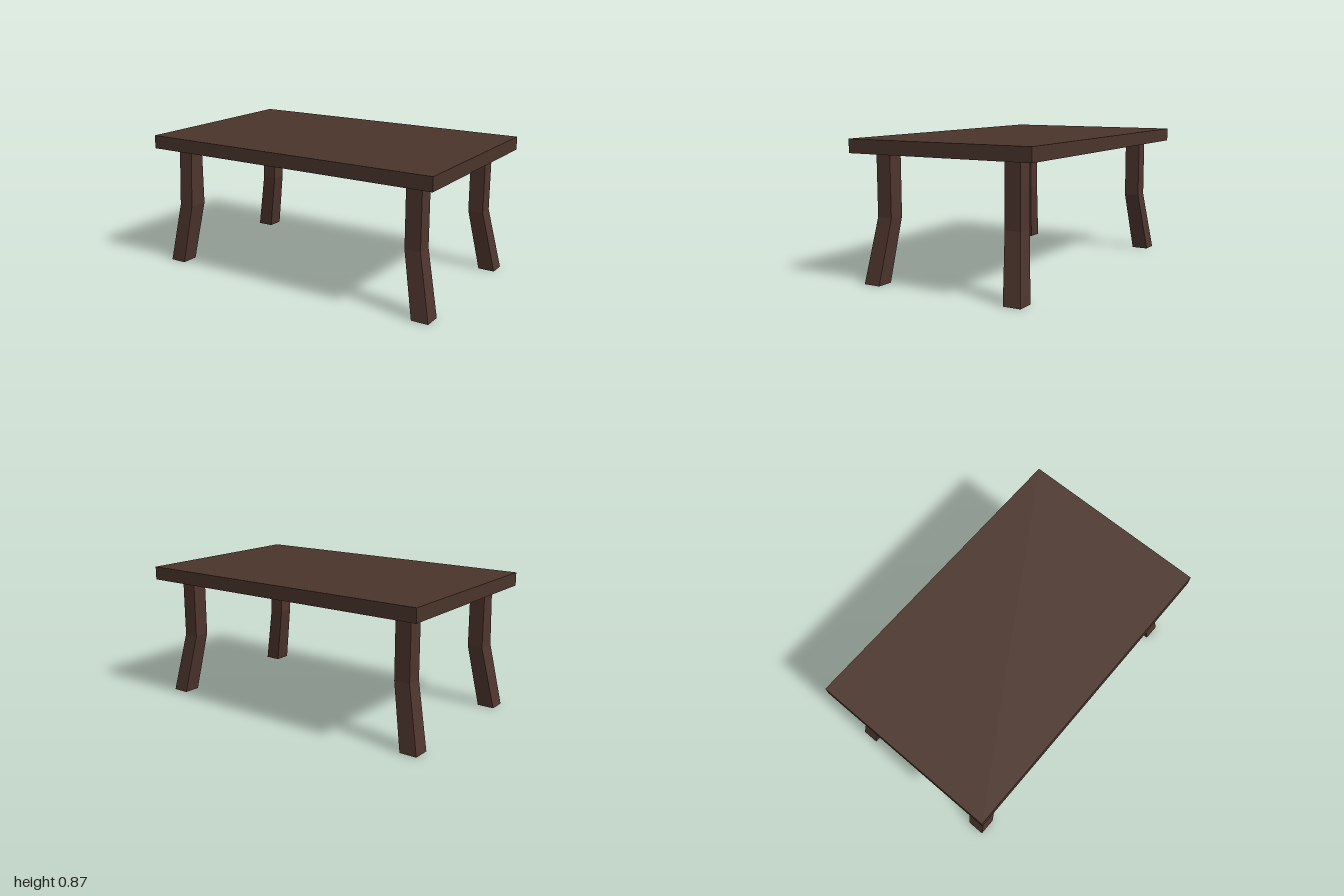
import * as THREE from 'three';

// Open four-sided tube through rings of [y, x0, x1, z0, z1]
function openTube(rings) {
  const pos = [], index = [];
  for (const [y, x0, x1, z0, z1] of rings) {
    pos.push(x0, y, z1, x1, y, z1, x1, y, z0, x0, y, z0);
  }
  for (let r = 0; r < rings.length - 1; r++) {
    for (let i = 0; i < 4; i++) {
      const j = (i + 1) % 4;
      const a = r * 4 + i, b = r * 4 + j, c = b + 4, d = a + 4;
      index.push(a, b, c, a, c, d);
    }
  }
  const indexed = new THREE.BufferGeometry();
  indexed.setAttribute('position', new THREE.Float32BufferAttribute(pos, 3));
  indexed.setIndex(index);
  const geometry = indexed.toNonIndexed();
  geometry.computeVertexNormals();
  return geometry;
}

export function createModel() {
  const table = new THREE.Group();
  table.name = 'table';

  const topWood = new THREE.MeshStandardMaterial({ color: 0x4a342b, side: THREE.DoubleSide });
  topWood.name = 'dark brown top wood';
  const legWood = new THREE.MeshStandardMaterial({ color: 0x4e352e, side: THREE.DoubleSide });
  legWood.name = 'dark brown leg wood';

  // Hollow table top: a box without its lower face
  const box = new THREE.BoxGeometry(2, 0.085, 1.234);
  const faces = Array.from(box.index.array);
  faces.splice(18, 6);
  box.setIndex(faces);
  box.clearGroups();
  const top = new THREE.Mesh(box, topWood);
  top.name = 'tableTop';
  top.position.y = 0.83;
  table.add(top);

  // Legs: straight above the knee, splayed outward below, open at both ends
  const legs = [
    { name: 'frontLeftLeg', upX: [0.786, 0.886], lowX: [0.862, 0.97], front: true },
    { name: 'frontRightLeg', upX: [-0.89, -0.79], lowX: [-0.974, -0.864], front: true, bulge: 0.022 },
    { name: 'backLeftLeg', upX: [0.786, 0.886], lowX: [0.862, 0.97] },
    { name: 'backRightLeg', upX: [-0.89, -0.79], lowX: [-0.974, -0.864] },
  ];
  for (const { name, upX, lowX, front, bulge = 0 } of legs) {
    const upZ = front ? [0.405, 0.506] : [-0.483, -0.382];
    const lowZ = front ? [0.441, 0.552] : [-0.53, -0.42];
    const leg = new THREE.Mesh(openTube([
      [0, ...lowX, ...lowZ],
      [0.4, ...upX, upZ[0], upZ[1] + bulge],
      [0.788, ...upX, ...upZ],
    ]), legWood);
    leg.name = name;
    table.add(leg);
  }
  return table;
}
